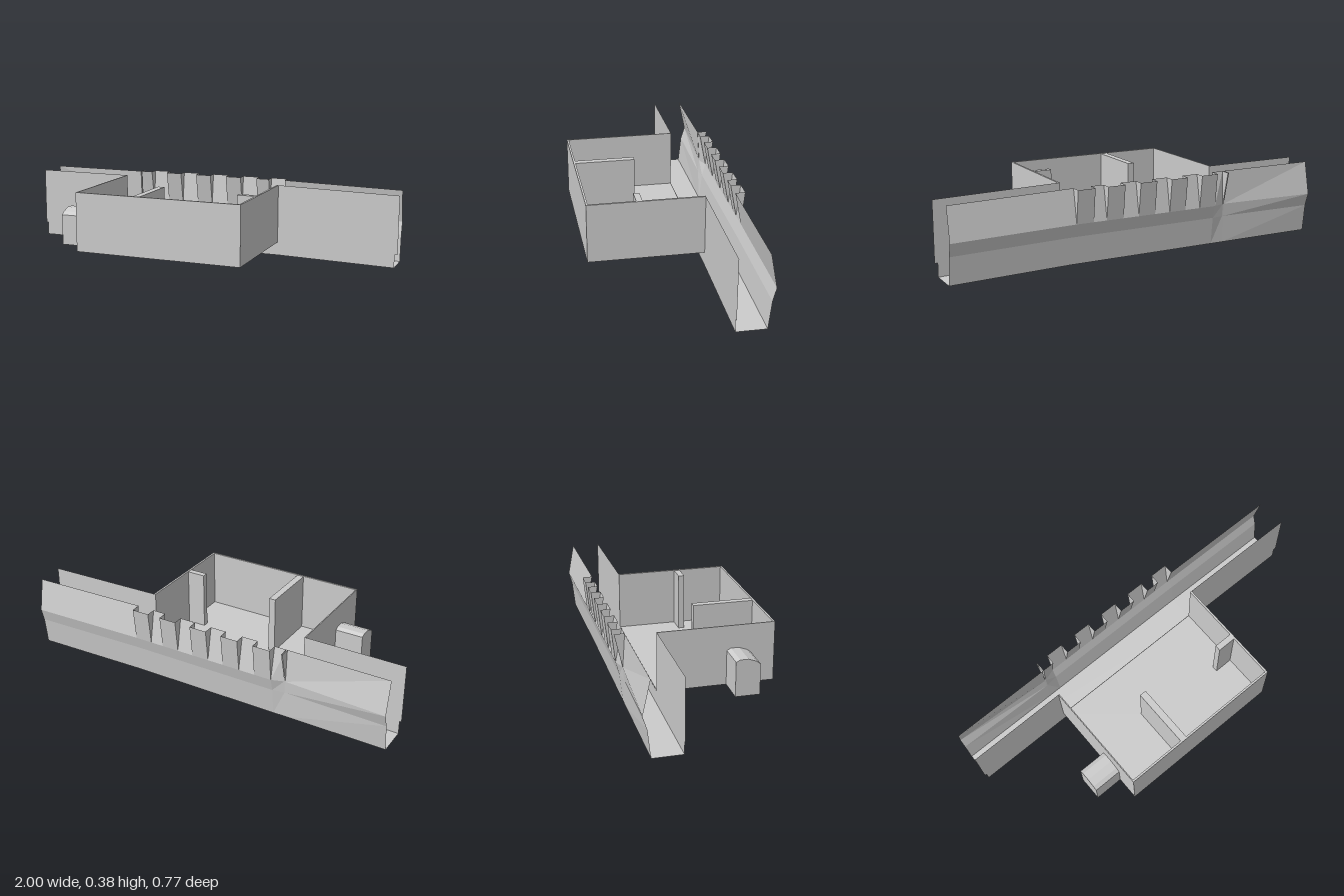
import * as THREE from 'three';

const material = new THREE.MeshStandardMaterial({ color: 0xcccccc, flatShading: true, side: THREE.DoubleSide });

function add(group, name, geometry) {
  const mesh = new THREE.Mesh(geometry, material);
  mesh.name = name;
  group.add(mesh);
  return mesh;
}

// Open sheet joining successive rows of points
function loft(rows) {
  const n = rows[0].length, index = [];
  for (let i = 0; i < rows.length - 1; i++) {
    for (let j = 0; j < n - 1; j++) {
      const a = i * n + j, b = a + n;
      index.push(a, b, a + 1, b, b + 1, a + 1);
    }
  }
  const g = new THREE.BufferGeometry();
  g.setAttribute('position', new THREE.Float32BufferAttribute(rows.flat(2), 3));
  g.setIndex(index);
  const flat = g.toNonIndexed();
  flat.computeVertexNormals();
  return flat;
}

// Upright sheet following a plan path of [x, z]
const upright = (path, y0, y1) => loft(path.map(([x, z]) => [[x, y0, z], [x, y1, z]]));

// Plan outline of [x, z] as a shape; shapes lie in XY with y = -z
const plan = (pts) => new THREE.Shape(pts.map(([x, z]) => new THREE.Vector2(x, -z)));
const rect = (x0, x1, z0, z1) => [[x0, z0], [x1, z0], [x1, z1], [x0, z1]];

// Horizontal sheet at height y
function slab(shape, y) {
  return new THREE.ShapeGeometry(shape).rotateX(-Math.PI / 2).translate(0, y, 0);
}

export function createModel() {
  const model = new THREE.Group();
  model.name = 'roomWithChannel';
  const FLOOR = 0.08, TOP = 0.38, BACK = -0.19;
  const L = -0.49, R = 0.375, F = 0.386;
  // The +x wing drops slightly toward its end
  const drop = (x) => -0.012 * Math.max(0, x - 0.38) / 0.6;

  // Room walls, open at the back
  const walls = plan([[L, BACK], [L, F], [R, F], [R, BACK], [R - 0.01, BACK],
    [R - 0.01, F - 0.01], [L + 0.005, F - 0.01], [L + 0.005, BACK]]);
  add(model, 'roomWalls', new THREE.ExtrudeGeometry(walls, { depth: TOP - FLOOR, bevelEnabled: false })
    .rotateX(-Math.PI / 2).translate(0, FLOOR, 0));

  // Hollow partitions, capped above and open through the floor
  const partitions = [
    ['longPartition', rect(-0.185, -0.15, 0.07, F - 0.01)],
    ['shortPartition', rect(0.27, R - 0.01, 0.115, 0.145)],
  ];
  const floor = plan(rect(L, R, BACK, F));
  for (const [name, pts] of partitions) {
    floor.holes.push(plan(pts));
    add(model, name + 'Sides', upright([...pts, pts[0]], FLOOR, TOP - 0.002));
    add(model, name + 'Cap', slab(plan(pts), TOP - 0.002));
  }
  add(model, 'roomFloor', slab(floor, FLOOR));

  // Flat wings either side of the room
  for (const [name, xa, xb] of [['rightWing', -1, L], ['leftWing', R, 1]]) {
    add(model, name, loft([xa, xb].map((x) =>
      [[x, FLOOR + drop(x), BACK], [x, TOP + drop(x), BACK]])));
  }

  // Channel: front lip and bottom
  add(model, 'channel', loft([-0.99, 0.38, 0.985].map((x) => [
    [x, 0.085 + drop(x), BACK + 0.0005],
    [x, 0.012 + drop(x), BACK + 0.0005],
    [x, 0.012 + drop(x), -0.337],
  ])));

  // Bent rear wall; pleats push the top edge outward
  const rows = [];
  const station = (x, ridgeZ, topZ) => {
    const d = drop(x);
    rows.push([
      [x, 0.012 + d, -0.337],
      [x, 0.15 + d, Math.max(-0.352, ridgeZ + 0.005)],
      [x, 0.215 + d, ridgeZ],
      [x, 0.382 + d, topZ],
    ]);
  };
  const IN = -0.337, OUT = -0.387, RIDGE = -0.369;
  const pleat = (x, width, ridgeZ) => {
    for (const s of [-1, 1]) {
      const edge = x + s * width / 2;
      station(edge, ridgeZ, s < 0 ? IN : OUT);
      station(edge, ridgeZ, s < 0 ? OUT : IN);
    }
  };
  station(-0.99, -0.373, IN);
  pleat(-0.47, 0.006, -0.348);
  for (const x of [-0.361, -0.187, -0.014, 0.16, 0.319]) pleat(x, 0.09, RIDGE);
  station(0.38, RIDGE, IN);
  station(0.985, RIDGE, IN);
  add(model, 'rearWall', loft(rows));

  // Side block with a faceted rounded top, profile in [z, y]
  const block = new THREE.Shape([[0.15, FLOOR], [0.15, 0.255], [0.17, 0.265], [0.21, 0.265],
    [0.25, 0.25], [0.27, 0.235], [0.27, FLOOR]].map(([z, y]) => new THREE.Vector2(-z, y)));
  add(model, 'sideBlock', new THREE.ExtrudeGeometry(block, { depth: 0.145, bevelEnabled: false })
    .rotateY(Math.PI / 2).translate(-0.635, 0, 0));

  return model;
}
